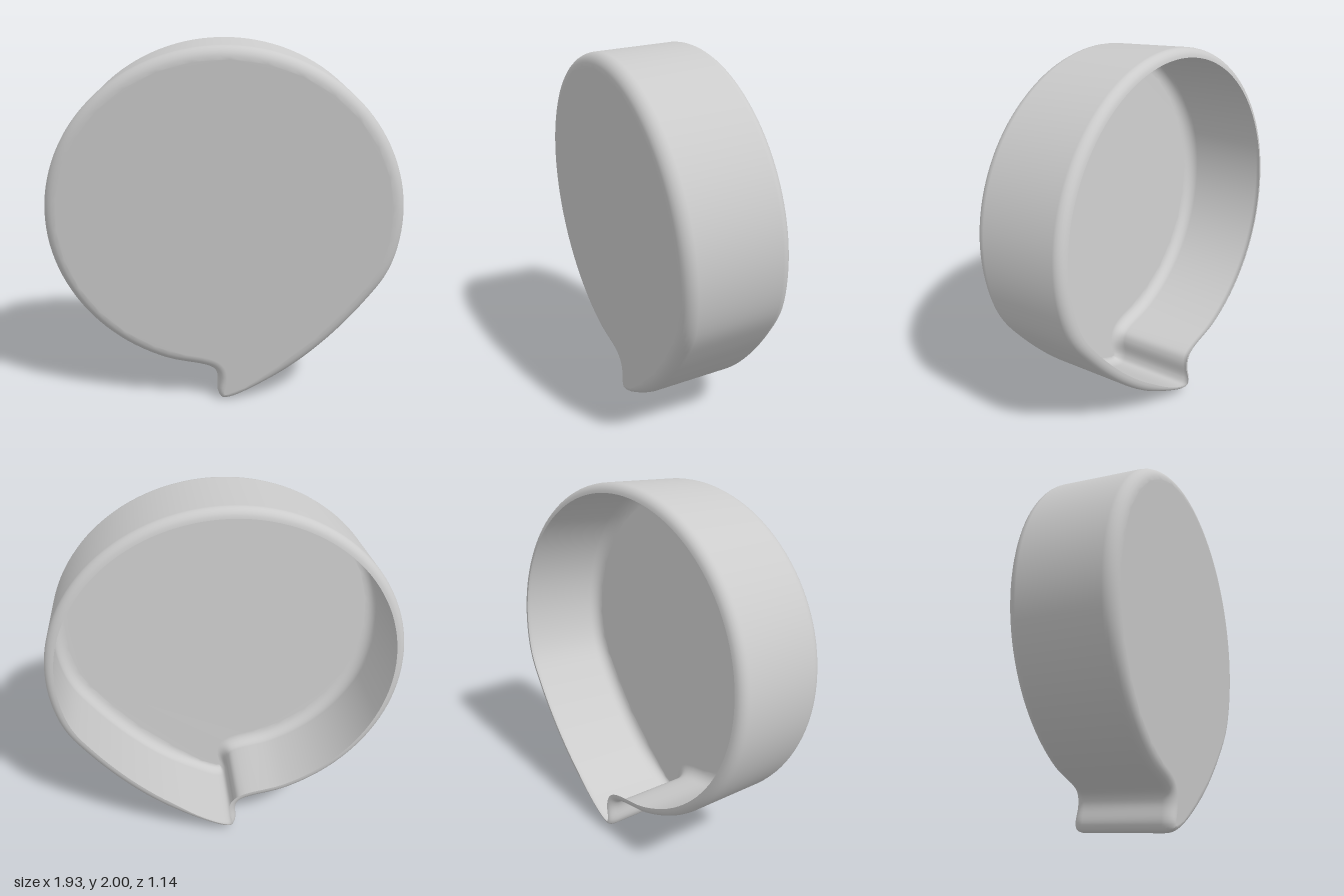
import * as THREE from 'three';

const HALF_DEPTH = 0.276, FRONT_EDGE = 0.065, BACK_EDGE = 0.05, EDGE_STEPS = 6;

// Counter-clockwise outline: an oval body with a small hooked tail at the bottom
function outlinePoints() {
  const pts = [];
  for (let deg = -20; deg <= 250; deg += 15) {
    const a = THREE.MathUtils.degToRad(deg);
    pts.push(new THREE.Vector3(0.945 * Math.cos(a), 0.1 + 0.885 * Math.sin(a), 0));
  }
  const tail = [[-0.1, -0.78], [-0.055, -0.805], [-0.037, -0.85], [-0.037, -0.94], [-0.015, -0.98],
    [0.03, -0.98], [0.16, -0.92], [0.37, -0.79], [0.58, -0.605], [0.77, -0.385]];
  tail.forEach(([x, y]) => pts.push(new THREE.Vector3(x, y, 0)));
  const curve = new THREE.CatmullRomCurve3(pts, true, 'centripetal');
  return curve.getPoints(pts.length * 5).slice(0, -1);
}

// Move the outline inwards; the narrow tail takes a smaller inset
function insetOutline(outline, amount) {
  const n = outline.length;
  return outline.map((p, i) => {
    const t = outline[(i + 1) % n].clone().sub(outline[(i + n - 1) % n]).normalize();
    const d = amount * (0.55 + 0.45 * THREE.MathUtils.smoothstep(p.y, -0.95, -0.78));
    return new THREE.Vector2(p.x - t.y * d, p.y + t.x * d);
  });
}

// Quarter round as [inset, distance from the end plane], from the rim to the wall
function roundedEdge(radius) {
  return Array.from({ length: EDGE_STEPS + 1 }, (_, i) => {
    const a = (i / EDGE_STEPS) * Math.PI / 2;
    return [radius * (1 - Math.sin(a)), radius * (1 - Math.cos(a))];
  });
}

function shellGeometry() {
  const outline = outlinePoints(), n = outline.length;

  // Section of the wall from the open back rim to the front face
  const section = [
    ...roundedEdge(BACK_EDGE).map(([d, z]) => [d, z - HALF_DEPTH]),
    ...roundedEdge(FRONT_EDGE).map(([d, z]) => [d, HALF_DEPTH - z]).reverse(),
  ];

  const position = [], index = [];
  let ring;
  section.forEach(([d, z], row) => {
    ring = insetOutline(outline, d);
    ring.forEach(p => position.push(p.x, p.y, z));
    if (row === 0) return;
    for (let j = 0; j < n; j++) {
      const a = (row - 1) * n + j, b = (row - 1) * n + (j + 1) % n;
      index.push(a, b, a + n, b, b + n, a + n);
    }
  });

  // Flat front face closes the last ring
  const base = (section.length - 1) * n;
  THREE.ShapeUtils.triangulateShape(ring, []).forEach(f => index.push(...f.map(i => i + base)));

  const geometry = new THREE.BufferGeometry();
  geometry.setAttribute('position', new THREE.Float32BufferAttribute(position, 3));
  geometry.setIndex(index);
  geometry.computeVertexNormals();
  return geometry;
}

export function createModel() {
  const material = new THREE.MeshStandardMaterial({ color: 0xcccccc, side: THREE.DoubleSide });
  const shell = new THREE.Mesh(shellGeometry(), material);
  shell.name = 'speechBubbleShell';
  // Turned to its left and tipped slightly forward
  shell.rotation.set(THREE.MathUtils.degToRad(4.4), THREE.MathUtils.degToRad(20), 0, 'YXZ');
  shell.position.y = 1;

  const model = new THREE.Group();
  model.name = 'speechBubble';
  model.add(shell);
  return model;
}
